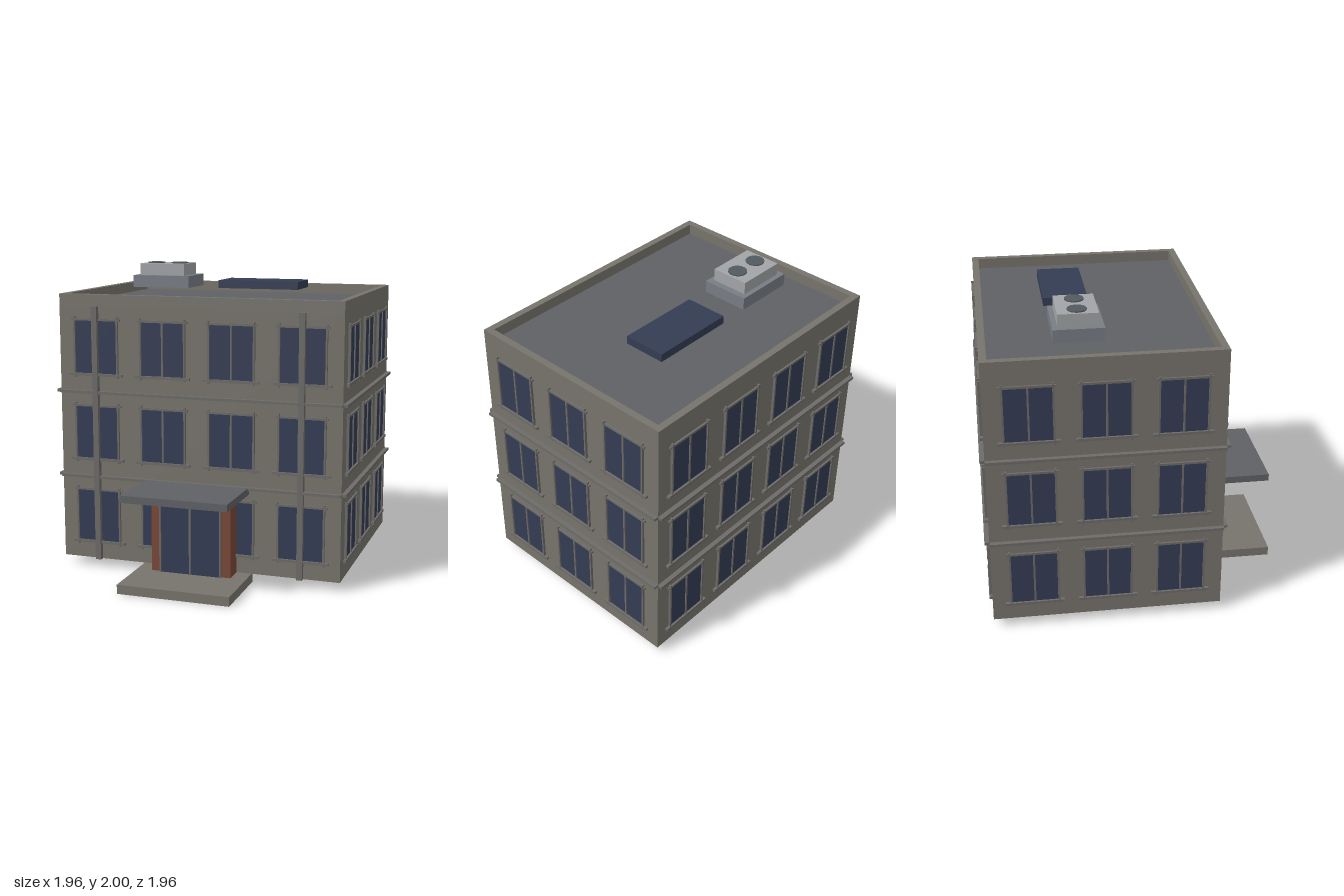
import * as THREE from 'three';

const mat = (color) => new THREE.MeshStandardMaterial({ color });

export function createModel() {
  const model = new THREE.Group();
  const wall = mat(0x77746c), trim = mat(0x6c6b68), deck = mat(0x5f6165), glass = mat(0x343c54);
  const brick = mat(0x7a4738), base = mat(0x787c84), metal = mat(0xa2a4a7), dark = mat(0x525a60);

  // box given by its min and max on each axis
  function box(parent, name, material, x0, x1, y0, y1, z0, z1) {
    const mesh = new THREE.Mesh(new THREE.BoxGeometry(x1 - x0, y1 - y0, z1 - z0), material);
    mesh.position.set((x0 + x1) / 2, (y0 + y1) / 2, (z0 + z1) / 2);
    mesh.name = name;
    parent.add(mesh);
    return mesh;
  }

  const X = 0.95, ZF = 0.51, ZB = -0.95, ZC = (ZF + ZB) / 2;
  const TOP = 1.83, ROOF = 1.76, FLOOR = 0.06, T = 0.045;

  // main block and roof deck
  box(model, 'buildingBody', wall, -X, X, FLOOR, ROOF - 0.01, ZB, ZF);
  box(model, 'roofDeck', deck, -X + T, X - T, ROOF - 0.01, ROOF, ZB + T, ZF - T);

  // parapet ring around the roof
  const rect = (C, w, d) => new C([[-w, -d], [w, -d], [w, d], [-w, d]].map(([x, y]) => new THREE.Vector2(x, y)));
  const halfZ = (ZF - ZB) / 2;
  const ring = rect(THREE.Shape, X, halfZ);
  ring.holes.push(rect(THREE.Path, X - T, halfZ - T));
  const ringGeo = new THREE.ExtrudeGeometry(ring, { depth: TOP - ROOF + 0.01, bevelEnabled: false });
  ringGeo.rotateX(-Math.PI / 2);
  const parapet = new THREE.Mesh(ringGeo, wall);
  parapet.position.set(0, ROOF - 0.01, ZC);
  parapet.name = 'parapet';
  model.add(parapet);

  // floor bands, on all four walls
  for (const y of [0.624, 1.191]) {
    box(model, 'frontBand', trim, -X, X, y - 0.009, y + 0.009, ZF, ZF + 0.028);
    box(model, 'backBand', trim, -X, X, y - 0.009, y + 0.009, ZB - 0.03, ZB);
    for (const s of [-1, 1]) {
      const a = s * X, b = s * (X + 0.03);
      box(model, 'sideBand', trim, Math.min(a, b), Math.max(a, b), y - 0.009, y + 0.009, ZB, ZF);
    }
  }

  // one window, built around its centre and facing +z
  function makeWindow() {
    const g = new THREE.Group();
    g.name = 'window';
    box(g, 'windowGlass', glass, -0.145, 0.145, -0.172, 0.172, -0.01, 0.006);
    box(g, 'windowMullion', trim, -0.006, 0.006, -0.172, 0.172, 0, 0.013);
    for (const s of [-1, 1])
      box(g, 'windowJamb', trim, s * 0.15 - 0.006, s * 0.15 + 0.006, -0.2, 0.2, 0, 0.016);
    box(g, 'windowHead', trim, -0.17, 0.17, 0.173, 0.187, 0, 0.013);
    box(g, 'windowSill', trim, -0.186, 0.186, -0.188, -0.171, 0, 0.02);
    return g;
  }
  const place = (x, y, z, turn) => {
    const w = makeWindow();
    w.position.set(x, y, z);
    w.rotation.y = turn;
    model.add(w);
  };
  const STEP = 0.462;
  for (const y of [0.355, 0.921, 1.487]) {
    for (let i = -1.5; i <= 1.5; i++) {
      place(i * STEP, y, ZF, 0);
      place(i * STEP, y, ZB, Math.PI);
    }
    for (let i = -1; i <= 1; i++) {
      place(X, y, ZC + i * STEP, Math.PI / 2);
      place(-X, y, ZC + i * STEP, -Math.PI / 2);
    }
  }

  // drain pipes
  for (const x of [-0.693, 0.693])
    box(model, 'drainPipe', trim, x - 0.019, x + 0.019, FLOOR, 1.755, ZF, ZF + 0.034);

  // entrance: porch slab, brick portal, doors and canopy
  const entrance = new THREE.Group();
  entrance.name = 'entrance';
  model.add(entrance);
  box(entrance, 'porchSlab', wall, -0.37, 0.37, 0, FLOOR, 0.49, 0.98);
  box(entrance, 'brickPortal', brick, -0.268, 0.268, FLOOR, 0.585, ZF, 0.64);
  box(entrance, 'doorGlass', glass, -0.2, 0.2, FLOOR, 0.51, 0.63, 0.65);
  for (const x of [-0.203, 0, 0.203])
    box(entrance, 'doorPost', trim, x - 0.006, x + 0.006, FLOOR, x ? 0.535 : 0.51, 0.64, 0.659);
  box(entrance, 'doorHead', trim, -0.225, 0.225, 0.508, 0.521, 0.64, 0.657);
  box(entrance, 'canopy', deck, -0.35, 0.35, 0.585, 0.632, ZF, 0.958);

  // rooftop cooling unit with two fans
  const cooler = new THREE.Group();
  cooler.name = 'coolingUnit';
  model.add(cooler);
  box(cooler, 'coolerBase', base, -0.72, -0.31, TOP, 1.912, -0.51, -0.197);
  box(cooler, 'coolerBox', metal, -0.68, -0.353, 1.912, 1.993, -0.478, -0.228);
  for (const x of [-0.604, -0.43]) {
    const fan = new THREE.Mesh(new THREE.CylinderGeometry(0.06, 0.06, 0.014, 24), dark);
    fan.position.set(x, 1.993, -0.354);
    fan.name = 'fan';
    cooler.add(fan);
  }

  // rooftop panel
  box(model, 'roofPanel', glass, -0.103, 0.46, 1.833, 1.886, -0.52, -0.237);

  return model;
}
